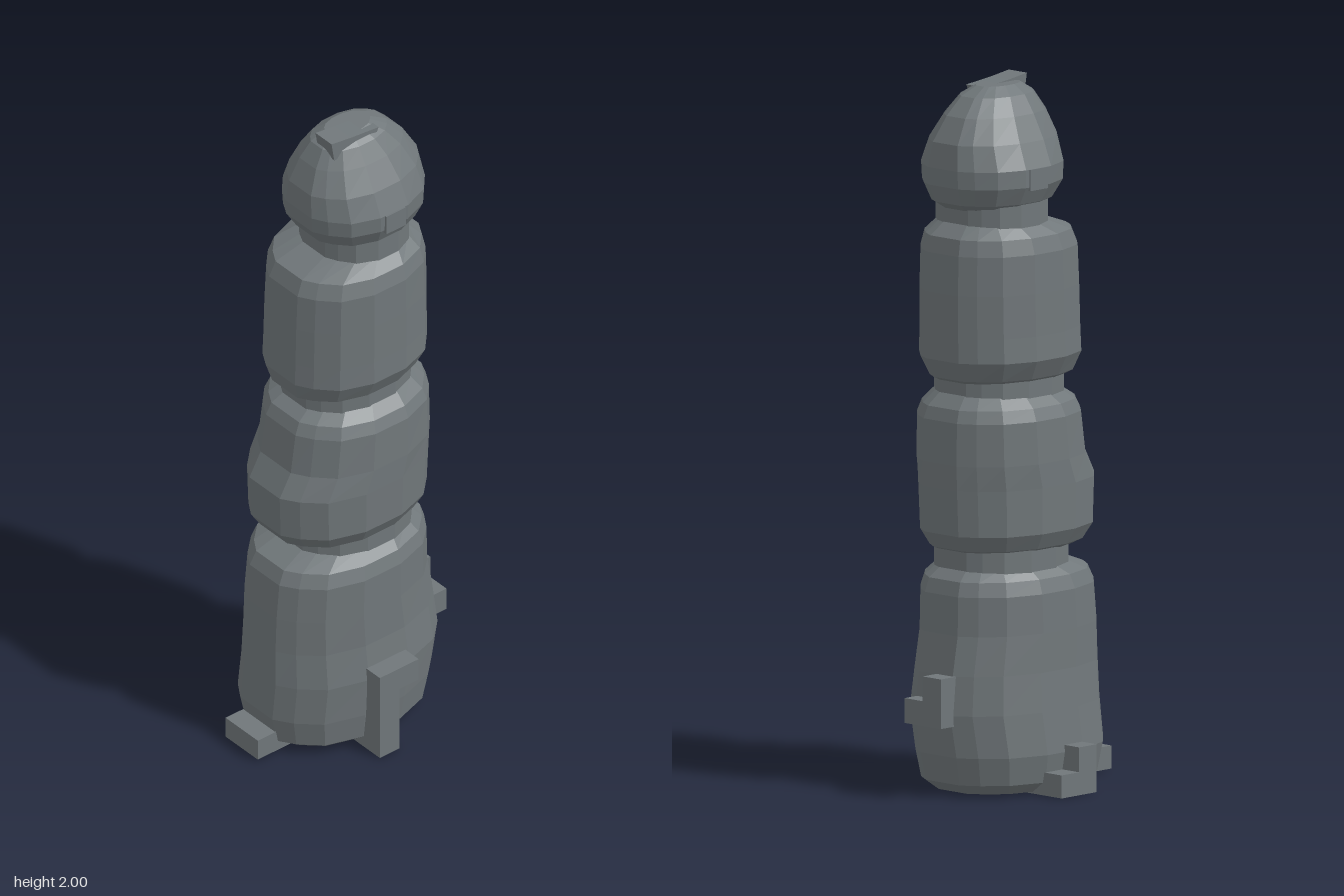
import * as THREE from 'three';

const stone = new THREE.MeshStandardMaterial({ color: 0x70777a, flatShading: true });
stone.name = 'grey stone';

// Rounded, faceted cross-section: one quadrant mirrored to 16 points
const quadrant = [[1, 0.32], [0.88, 0.56], [0.66, 0.83], [0.25, 1]];
const section = [
  ...quadrant,
  ...quadrant.map(([x, z]) => [-x, z]).reverse(),
  ...quadrant.map(([x, z]) => [-x, -z]),
  ...quadrant.map(([x, z]) => [x, -z]).reverse(),
];

// Closed loft through rings given as [y, xMin, xMax, zMin, zMax]
function loft(rings) {
  const n = section.length, pos = [], index = [];
  for (const [y, x0, x1, z0, z1] of rings) {
    for (const [u, v] of section) {
      pos.push((x0 + x1) / 2 + u * (x1 - x0) / 2, y, (z0 + z1) / 2 + v * (z1 - z0) / 2);
    }
  }
  for (const [y, x0, x1, z0, z1] of [rings[0], rings[rings.length - 1]]) {
    pos.push((x0 + x1) / 2, y, (z0 + z1) / 2);
  }
  const bottom = rings.length * n, top = bottom + 1, last = (rings.length - 1) * n;
  for (let i = 0; i < n; i++) {
    const j = (i + 1) % n;
    for (let r = 0; r < rings.length - 1; r++) {
      const a = r * n + i, b = r * n + j;
      index.push(a, a + n, b, b, a + n, b + n);
    }
    index.push(bottom, i, j, top, last + j, last + i);
  }
  const g = new THREE.BufferGeometry();
  g.setAttribute('position', new THREE.Float32BufferAttribute(pos, 3));
  g.setIndex(index);
  g.computeVertexNormals();
  return g;
}

export function createModel() {
  const model = new THREE.Group();
  model.name = 'stackedStonePillar';
  const add = (name, geometry) => {
    const mesh = new THREE.Mesh(geometry, stone);
    mesh.name = name;
    model.add(mesh);
  };
  const block = (name, x0, x1, y0, y1, z0, z1) => add(name,
    new THREE.BoxGeometry(x1 - x0, y1 - y0, z1 - z0)
      .translate((x0 + x1) / 2, (y0 + y1) / 2, (z0 + z1) / 2));

  // Four stacked boulders, widest at the base
  add('baseStone', loft([
    [0.01, -0.23, 0.22, -0.17, 0.17],
    [0.04, -0.27, 0.26, -0.205, 0.205],
    [0.12, -0.285, 0.28, -0.22, 0.215],
    [0.24, -0.28, 0.295, -0.21, 0.222],
    [0.35, -0.275, 0.285, -0.202, 0.208],
    [0.46, -0.27, 0.265, -0.2, 0.205],
    [0.57, -0.26, 0.262, -0.197, 0.203],
    [0.61, -0.24, 0.25, -0.185, 0.19],
    [0.645, -0.15, 0.21, -0.15, 0.15],
  ]));
  add('lowerStone', loft([
    [0.68, -0.18, 0.2, -0.15, 0.15],
    [0.695, -0.225, 0.235, -0.175, 0.18],
    [0.74, -0.255, 0.262, -0.2, 0.205],
    [0.87, -0.26, 0.268, -0.202, 0.208],
    [0.94, -0.22, 0.27, -0.202, 0.208],
    [1.06, -0.202, 0.267, -0.198, 0.204],
    [1.095, -0.185, 0.255, -0.185, 0.19],
    [1.13, -0.13, 0.22, -0.15, 0.155],
  ]));
  add('upperStone', loft([
    [1.155, -0.13, 0.2, -0.14, 0.14],
    [1.175, -0.185, 0.24, -0.17, 0.17],
    [1.23, -0.2, 0.264, -0.2, 0.198],
    [1.3, -0.198, 0.264, -0.197, 0.196],
    [1.42, -0.195, 0.264, -0.195, 0.195],
    [1.53, -0.19, 0.26, -0.192, 0.193],
    [1.575, -0.17, 0.25, -0.18, 0.18],
    [1.61, -0.07, 0.21, -0.14, 0.14],
  ]));
  add('topStone', loft([
    [1.65, -0.06, 0.21, -0.12, 0.12],
    [1.67, -0.1, 0.24, -0.155, 0.15],
    [1.72, -0.13, 0.26, -0.18, 0.175],
    [1.77, -0.135, 0.262, -0.18, 0.178],
    [1.84, -0.13, 0.25, -0.15, 0.15],
    [1.91, -0.1, 0.21, -0.115, 0.11],
    [1.96, -0.07, 0.16, -0.08, 0.08],
    [1.985, -0.03, 0.11, -0.045, 0.045],
  ]));

  // Narrow necks in the joints
  const neck = (name, y0, y1, x0, x1, d) => add(name,
    loft([[y0, x0, x1, -d, d], [y1, x0, x1, -d, d]]));
  neck('lowerNeck', 0.62, 0.71, -0.165, 0.22, 0.165);
  neck('middleNeck', 1.1, 1.19, -0.15, 0.22, 0.16);
  neck('upperNeck', 1.58, 1.69, -0.08, 0.21, 0.15);

  // Square growths around the base
  block('frontPost', -0.07, 0, 0.005, 0.28, 0.1, 0.275);
  block('frontArm', 0, 0.07, 0.21, 0.28, 0.1, 0.275);
  block('leftLowBlock', 0.2, 0.34, 0.21, 0.28, 0, 0.07);
  block('leftTallBlock', 0.2, 0.34, 0.21, 0.35, -0.07, 0);
  block('rightFoot', -0.34, -0.2, 0.01, 0.075, -0.07, 0.07);
  block('backTallFoot', -0.07, 0, 0.005, 0.14, -0.275, -0.1);
  block('backLowFoot', 0, 0.07, 0.005, 0.07, -0.275, -0.1);

  // Small knobs on the top stone
  block('frontKnob', 0.03, 0.1, 1.71, 1.77, 0.1, 0.183);
  block('backKnob', 0.03, 0.1, 1.71, 1.77, -0.183, -0.1);

  // Pointed wedge on the crown
  const wedge = new THREE.Shape([[-0.07, 2], [-0.06, 1.94], [0.08, 1.94], [0.1, 1.98], [0, 1.99]]
    .map(([x, y]) => new THREE.Vector2(x, y)));
  add('crownWedge', new THREE.ExtrudeGeometry(wedge, { depth: 0.07, bevelEnabled: false })
    .translate(0, 0, -0.005));

  return model;
}
